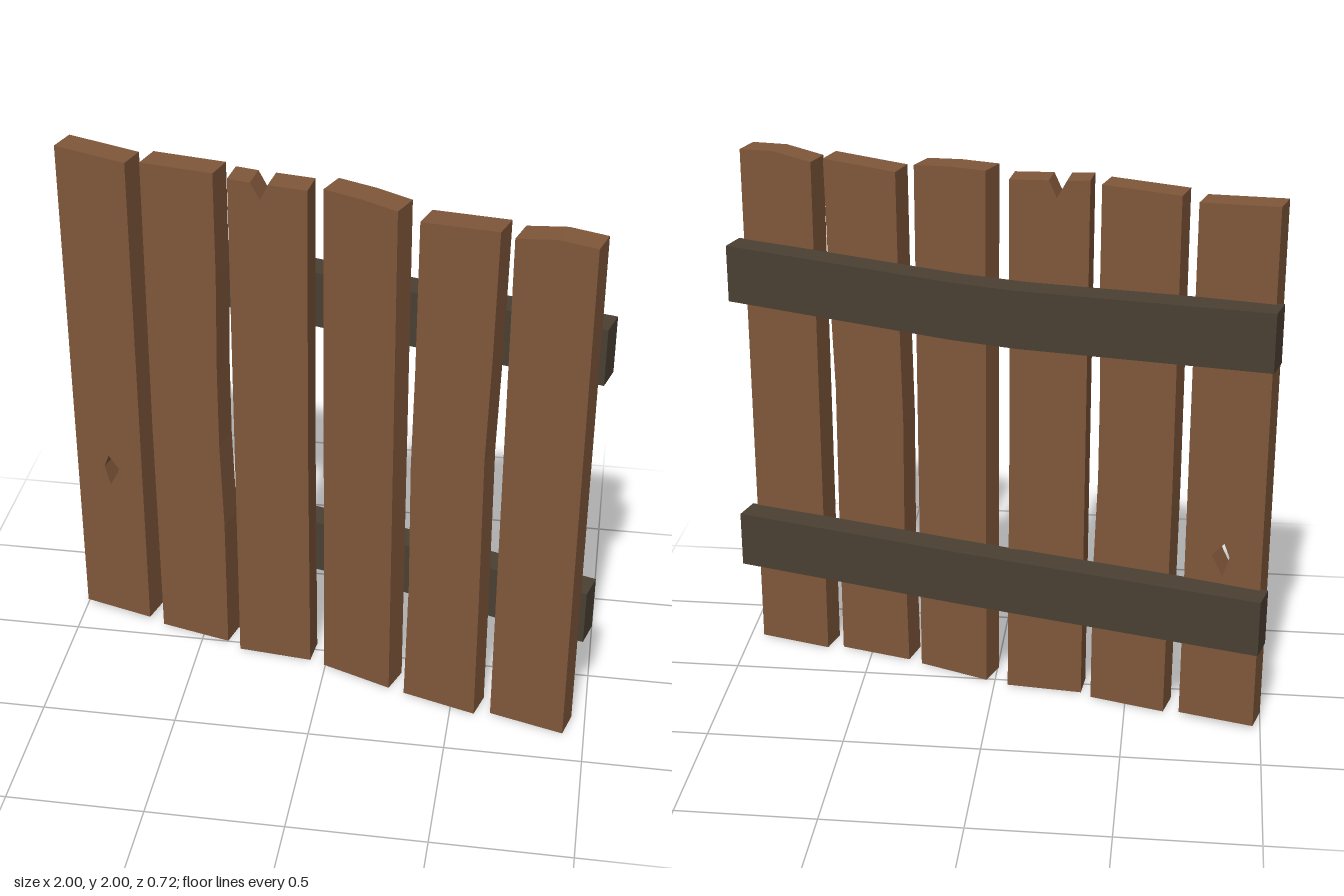
import * as THREE from 'three';

const wood = new THREE.MeshStandardMaterial({ color: 0x80573a });
wood.name = 'brown wood';
wood.flatShading = true;
const darkWood = new THREE.MeshStandardMaterial({ color: 0x4a4033 });
darkWood.name = 'dark wood';
darkWood.flatShading = true;

const DEPTH = 0.105;

// Each outline lists the front face's corners as [x, y], anticlockwise from the lower left.
const planks = [
  { name: 'plank1', z: -0.165, turn: 0.272,
    outline: [[-1, 0.015], [-0.73, 0.013], [-0.73, 1.965], [-1, 1.98]],
    hole: [[-0.865, 0.6], [-0.887, 0.68], [-0.867, 0.73], [-0.825, 0.68]] },
  { name: 'plank2', z: -0.07, turn: 0.26,
    outline: [[-0.67, 0], [-0.397, 0.003], [-0.397, 0.55], [-0.408, 0.9], [-0.408, 1.2],
      [-0.4, 1.6], [-0.4, 1.99], [-0.672, 1.98], [-0.675, 0.9]] },
  { name: 'plank3', z: 0.04, turn: 0.1,
    outline: [[-0.342, 0], [-0.062, 0], [-0.066, 1], [-0.062, 1.98], [-0.2, 1.985],
      [-0.228, 1.925], [-0.262, 1.987], [-0.342, 1.992]] },
  { name: 'plank4', z: 0.09, turn: 0.365,
    outline: [[-0.005, 0], [0.258, 0], [0.258, 1.985], [0.13, 1.997], [-0.005, 2]] },
  { name: 'plank5', z: 0.215, turn: 0.28, lean: -0.01,
    outline: [[0.318, 0.003], [0.59, 0], [0.588, 0.5], [0.582, 1.1], [0.592, 1.5],
      [0.598, 1.977], [0.328, 1.957], [0.326, 1.4], [0.32, 1], [0.326, 0.5]] },
  { name: 'plank6', z: 0.28, turn: 0.272,
    outline: [[0.65, 0], [0.922, 0], [0.922, 1.98], [0.79, 1.985], [0.65, 1.96]] },
];

// Upright board: an extruded outline turned about its front left edge
function makePlank({ name, z, turn, lean = 0, outline, hole }) {
  const x0 = outline[0][0];
  const flat = (pts) => pts.map(([x, y]) => new THREE.Vector2((x - x0) / Math.cos(turn), y));
  const shape = new THREE.Shape(flat(outline));
  if (hole) shape.holes.push(new THREE.Path(flat(hole)));
  const geometry = new THREE.ExtrudeGeometry(shape, { depth: DEPTH, bevelEnabled: false });
  geometry.translate(0, 0, -DEPTH);
  const mesh = new THREE.Mesh(geometry, wood);
  mesh.name = name;
  mesh.rotation.set(lean, -turn, 0, 'YXZ');
  mesh.position.set(x0, 0, z);
  return mesh;
}

// Cross rail: a box whose sections follow the back edge path [x, middle y, z]
function makeRail(name, path) {
  const geometry = new THREE.BoxGeometry(1, 1, 1, path.length - 1, 1, 1);
  const p = geometry.attributes.position;
  for (let i = 0; i < p.count; i++) {
    const [x, y, z] = path[Math.round((p.getX(i) + 0.5) * (path.length - 1))];
    const front = p.getZ(i) + 0.5;
    p.setXYZ(i, x - 0.028 * front, y + p.getY(i) * 0.212, z + 0.1 * front);
  }
  geometry.computeVertexNormals();
  const mesh = new THREE.Mesh(geometry, darkWood);
  mesh.name = name;
  return mesh;
}

export function createModel() {
  const fence = new THREE.Group();
  fence.name = 'fence';
  for (const plank of planks) fence.add(makePlank(plank));
  fence.add(makeRail('upperRail',
    [[-0.972, 1.537, -0.36], [-0.09, 1.514, -0.155], [0.15, 1.514, -0.09], [0.998, 1.537, 0.165]]));
  fence.add(makeRail('lowerRail',
    [[-0.972, 0.464, -0.36], [-0.09, 0.47, -0.145], [0.15, 0.47, -0.083], [0.998, 0.464, 0.165]]));
  return fence;
}
